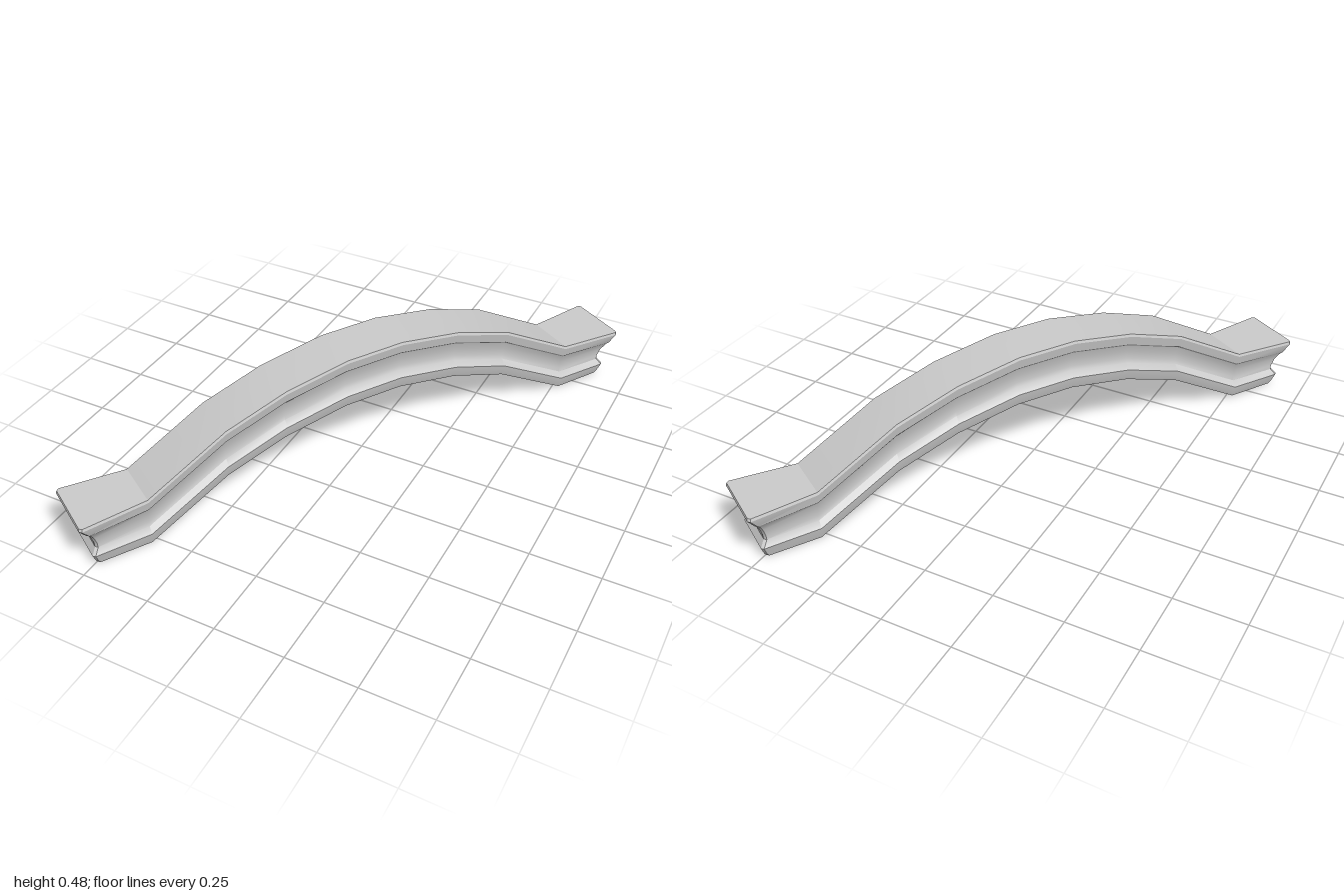
import * as THREE from 'three';
import { toCreasedNormals } from 'three/addons/utils/BufferGeometryUtils.js';

// Moulding profile, bottom to top: [height, half width along arch, half width at end, half length]
const PROFILE = [
  [0.0, 0.077, 0.078, 1.052],
  [0.01, 0.081, 0.082, 1.058],
  [0.045, 0.088, 0.093, 1.069],
  [0.068, 0.072, 0.079, 1.052],
  [0.085, 0.069, 0.079, 1.053],
  [0.115, 0.071, 0.085, 1.061],
  [0.145, 0.08, 0.1, 1.074],
  [0.152, 0.087, 0.106, 1.08],
  [0.187, 0.094, 0.117, 1.103],
  [0.197, 0.091, 0.114, 1.1],
];

// Half of the arch, outwards: [distance from the middle, rise]
const ARCH = [[0.11, 0.28], [0.345, 0.24], [0.57, 0.165], [0.862, 0]];
const CHAMFER = 0.008;

// Closed outline of the beam at one level of the profile
function outline([h, wMid, wEnd, end]) {
  const half = ARCH.map(([s, rise]) => [s, h + rise, wMid]);
  half.push([end - CHAMFER, h, wEnd], [end, h, wEnd - CHAMFER]);
  const side = [...half.map(([s, y, w]) => [-s, y, w]).reverse(), ...half];
  const back = side.map(([s, y, w]) => [s, y, -w]).reverse();
  return [...side, ...back];
}

function beamGeometry() {
  const rings = PROFILE.map(outline);
  const n = rings[0].length;
  const top = rings.length - 1;
  const index = [];
  const quad = (a, b, c, d) => index.push(a, b, c, a, c, d);

  // Sides and ends, level by level
  for (let k = 0; k < top; k++) {
    for (let j = 0; j < n; j++) {
      const i = (j + 1) % n;
      quad(k * n + j, k * n + i, (k + 1) * n + i, (k + 1) * n + j);
    }
  }
  // Top and underside strips
  for (let j = 0; j < n / 2 - 1; j++) {
    const t = top * n;
    quad(t + j, t + j + 1, t + n - 2 - j, t + n - 1 - j);
    quad(n - 1 - j, n - 2 - j, j + 1, j);
  }

  const geometry = new THREE.BufferGeometry();
  geometry.setAttribute('position', new THREE.Float32BufferAttribute(rings.flat(2), 3));
  geometry.setIndex(index);
  return toCreasedNormals(geometry, 0.45);
}

export function createModel() {
  const group = new THREE.Group();
  group.name = 'archedBeam';
  const beam = new THREE.Mesh(beamGeometry(), new THREE.MeshStandardMaterial({ color: 0xcccccc }));
  beam.name = 'mouldedArch';
  // The beam runs diagonally across the ground
  beam.rotation.y = Math.atan2(0.848, 0.53);
  group.add(beam);
  return group;
}
